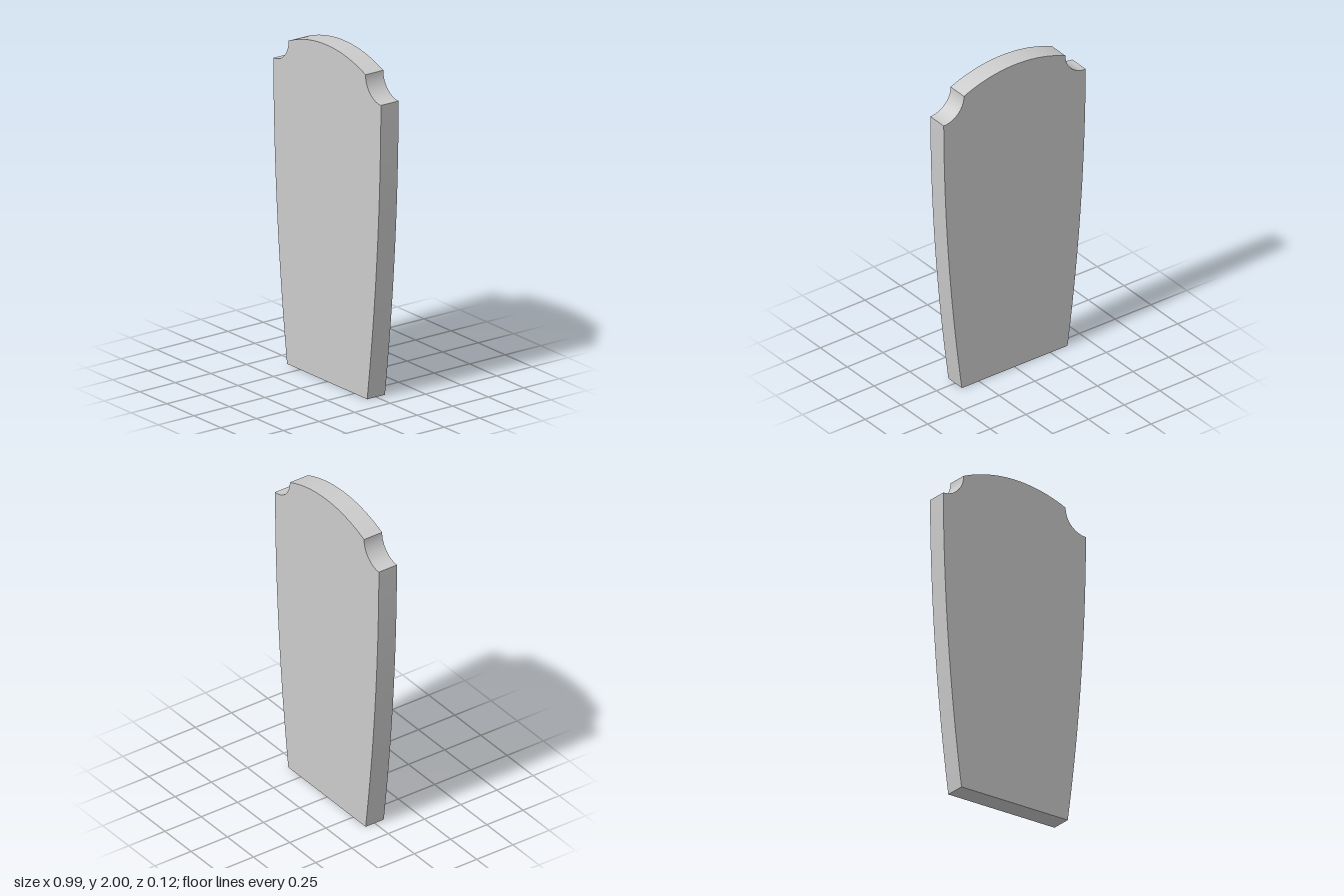
import * as THREE from 'three';
import { toCreasedNormals } from 'three/addons/utils/BufferGeometryUtils.js';

const DEPTH = 0.125;
const BASE_X = 0.37, SIDE_X = 0.497; // half widths at foot and shoulder
const NOTCH_R = 0.142;               // scooped shoulder radius
const CROWN_X = SIDE_X - NOTCH_R;    // half width of the crown
const CROWN_Y = 1.925, TOP = 2;

// Right half of the outline, from the foot up to the middle of the crown
function halfOutline() {
  const pts = new THREE.QuadraticBezierCurve(
    new THREE.Vector2(BASE_X, 0),
    new THREE.Vector2(0.492, 0.89),
    new THREE.Vector2(SIDE_X, CROWN_Y - NOTCH_R)
  ).getPoints(24);

  // Concave shoulder notch
  for (let i = 1; i <= 16; i++) {
    const a = -Math.PI / 2 - (i / 16) * Math.PI / 2;
    pts.push(new THREE.Vector2(SIDE_X + NOTCH_R * Math.cos(a), CROWN_Y + NOTCH_R * Math.sin(a)));
  }

  // Shallow crown arc
  const rise = TOP - CROWN_Y;
  const r = (CROWN_X ** 2 + rise ** 2) / (2 * rise);
  const half = Math.asin(CROWN_X / r);
  for (let i = 1; i <= 16; i++) {
    const a = half * (1 - i / 16);
    pts.push(new THREE.Vector2(r * Math.sin(a), TOP - r + r * Math.cos(a)));
  }
  return pts;
}

export function createModel() {
  const right = halfOutline();
  const left = right.slice(0, -1).reverse().map(p => new THREE.Vector2(-p.x, p.y));

  // Flat slab with smooth curved edges and crisp corners
  const slab = new THREE.ExtrudeGeometry(new THREE.Shape([...right, ...left]), {
    depth: DEPTH, bevelEnabled: false
  });
  slab.translate(0, 0, -DEPTH / 2);

  const mesh = new THREE.Mesh(
    toCreasedNormals(slab, Math.PI / 6),
    new THREE.MeshStandardMaterial({ color: 0xcccccc })
  );
  mesh.name = 'panel';

  const group = new THREE.Group();
  group.name = 'shapedPanel';
  group.add(mesh);
  return group;
}
